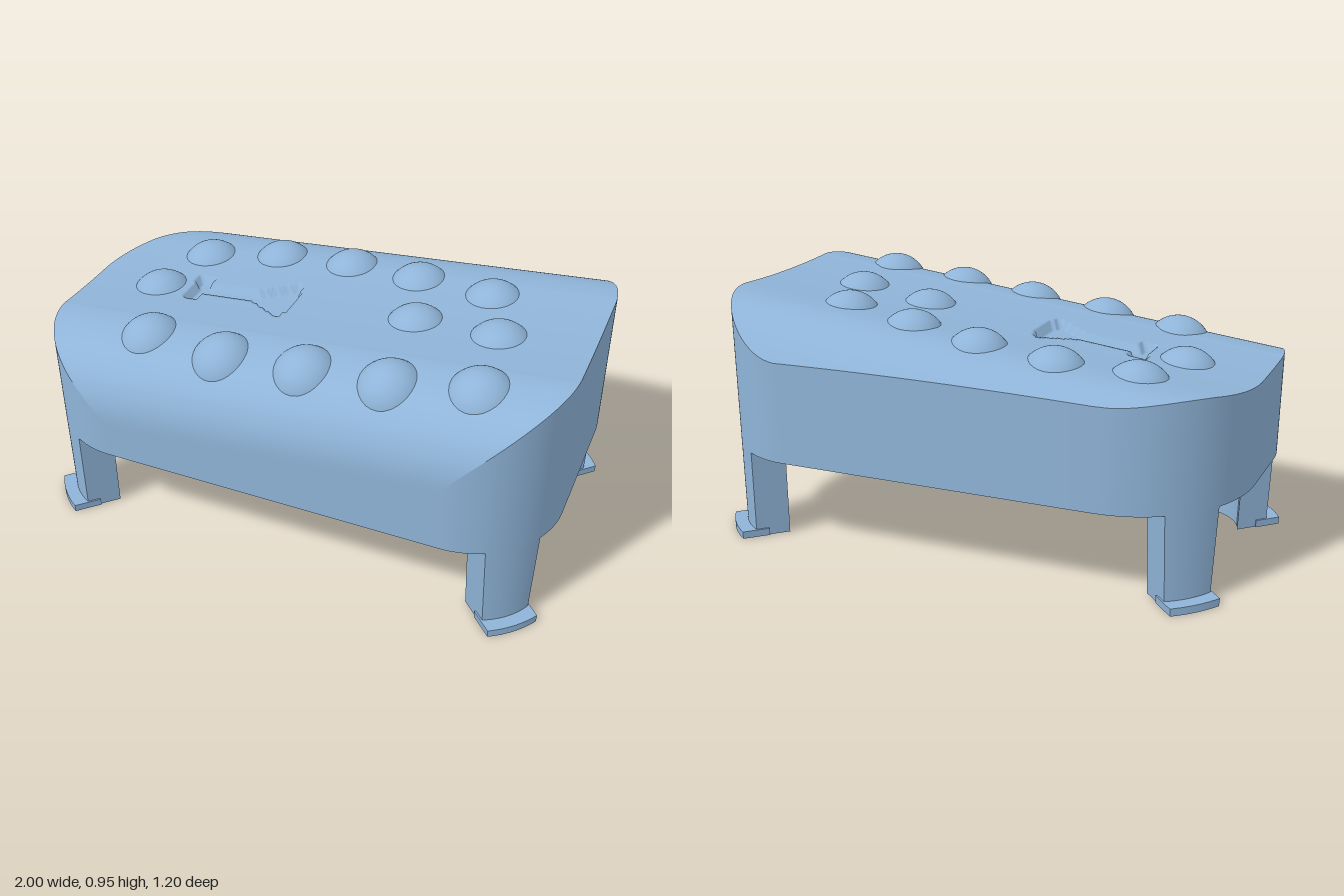
import * as THREE from 'three';
import { toCreasedNormals } from 'three/addons/utils/BufferGeometryUtils.js';

const WALL = 0.1, RIM = 0.36, ROWS = 160;
// rounded corners of the plan: centre x, z, radius, leg direction in degrees
const CORNERS = {
  frontLeft: [0.65, 0.25, 0.35, 45],
  backLeft: [0.66, -0.26, 0.34, -45],
  backRight: [-0.52, -0.02, 0.48, -138],
  frontRight: [-0.65, 0.25, 0.35, 135],
};

// x where a corner arc, shrunk by t, meets the row z
function arcX([cx, cz, r], z, t, side) {
  return cx + side * Math.sqrt(Math.max(0, (r - t) ** 2 - (z - cz) ** 2));
}

// left and right ends of the plan at the row z
function span(z, t) {
  let max = 1 - t, min = -1 + t;
  if (z > 0.25) {
    max = arcX(CORNERS.frontLeft, z, t, 1);
    min = arcX(CORNERS.frontRight, z, t, -1);
  }
  if (z < -0.26) max = arcX(CORNERS.backLeft, z, t, 1);
  if (z < -0.02) min = arcX(CORNERS.backRight, z, t, -1);
  // slanted straight back edge
  if (z < -0.02 - 0.9965 * (0.48 - t)) min = (0.5434 - t + 0.9965 * z) / -0.0837;
  return [Math.min(min, max), max];
}

// tilted top, rolled over at the front and back
function topY(x, z) {
  let y = 0.842 + 0.01 * Math.min(1, (z / 0.29) ** 2);
  if (z > 0.27) y = 0.56 + 0.292 * Math.max(0, 1 - ((z - 0.27) / 0.33) ** 2.3) ** (1 / 2.3);
  if (z < -0.28) y -= 0.157 * ((-z - 0.28) / 0.32) ** 2.8;
  return y + 0.09 * x;
}

// sunken shape in the top: cross bar, stem and fan
function inRecess(x, z) {
  const d = Math.abs(z - 0.018);
  if (x > -0.575 && x < -0.515) return d < 0.08;
  if (x >= -0.515 && x < -0.32) return d < 0.033;
  const f = (x + 0.32) / 0.155;
  return f >= 0 && d < 0.033 + 0.09 * f ** 1.3 && Math.hypot(x + 0.4, d) < 0.262;
}

function rowZ(i, t) {
  return (0.6 - t) * Math.cos((Math.PI * i) / ROWS);
}

// counter-clockwise outline at a given height
function outline(t, height) {
  const left = [], right = [];
  for (let i = 0; i <= ROWS; i++) {
    const z = rowZ(i, t), [a, b] = span(z, t);
    left.push([b, height(b, z), z]);
    right.unshift([a, height(a, z), z]);
  }
  return [...left, ...right];
}

function indexed(points, index) {
  const g = new THREE.BufferGeometry();
  g.setAttribute('position', new THREE.Float32BufferAttribute(points.flat(), 3));
  g.setIndex(index);
  g.computeVertexNormals();
  return g;
}

// band of quads between two outlines
function band(a, b) {
  const n = a.length, index = [];
  for (let i = 0; i < n; i++) {
    const j = (i + 1) % n;
    index.push(i, j, n + j, i, n + j, n + i);
  }
  return indexed([...a, ...b], index);
}

// curved sheet filling an outline
function sheet(t, cols, height, down) {
  const points = [], index = [];
  for (let i = 0; i <= ROWS; i++) {
    const z = rowZ(i, t), [a, b] = span(z, t);
    for (let j = 0; j <= cols; j++) {
      const x = a + ((b - a) * j) / cols;
      points.push([x, height(x, z), z]);
      if (i === ROWS || j === cols) continue;
      const p = i * (cols + 1) + j, q = p + cols + 1;
      if (down) index.push(p, q, p + 1, p + 1, q, q + 1);
      else index.push(p, p + 1, q, p + 1, q + 1, q);
    }
  }
  return indexed(points, index);
}

// curved block following a corner: w is half its width, base narrows its foot end
function cornerBlock([cx, cz, , deg], inner, outer, w, h, base) {
  const a = Math.asin(w / outer), b = Math.asin(w / inner), up = Math.PI / 2;
  const shape = new THREE.Shape();
  shape.absarc(0, 0, outer, up - a, up + a, false);
  shape.absarc(0, 0, inner, up + b, up - b, true);
  const g = new THREE.ExtrudeGeometry(shape, { depth: h, bevelEnabled: false, curveSegments: 10 });
  const p = g.attributes.position;
  for (let i = 0; i < p.count; i++) p.setX(i, p.getX(i) * (base + ((1 - base) * p.getZ(i)) / h));
  const A = THREE.MathUtils.degToRad(deg), c = Math.cos(A), s = Math.sin(A);
  g.applyMatrix4(new THREE.Matrix4().makeBasis(
    new THREE.Vector3(-s, 0, c), new THREE.Vector3(c, 0, s), new THREE.Vector3(0, 1, 0),
  ).setPosition(cx, 0, cz));
  return toCreasedNormals(g, 0.5);
}

export function createModel() {
  const blue = new THREE.MeshStandardMaterial({ color: 0x8fb4d8 });
  blue.name = 'soft blue';
  const model = new THREE.Group();
  const add = (name, geometry, parent = model) => {
    const mesh = new THREE.Mesh(geometry, blue);
    mesh.name = name;
    parent.add(mesh);
    return mesh;
  };

  // hollow body, open below
  const rimY = () => RIM;
  const ceilingY = (x, z) => topY(x, z) - 0.1;
  const body = new THREE.Group();
  body.name = 'body';
  model.add(body);
  add('topSurface', sheet(0, 160, (x, z) => topY(x, z) - (inRecess(x, z) ? 0.03 : 0), false), body);
  add('outerWall', band(outline(0, rimY), outline(0, topY)), body);
  add('innerWall', band(outline(WALL, ceilingY), outline(WALL, rimY)), body);
  add('bottomRim', band(outline(WALL, rimY), outline(0, rimY)), body);
  add('ceiling', sheet(WALL, 24, ceilingY, true), body);

  // round boss under the ceiling
  add('centerBoss', new THREE.CylinderGeometry(0.215, 0.215, 0.3, 48)).position.set(0.04, 0.62, -0.01);

  // legs with outward feet
  for (const [name, corner] of Object.entries(CORNERS)) {
    const r = corner[2], leg = new THREE.Group();
    leg.name = name + 'Leg';
    model.add(leg);
    add('post', cornerBlock(corner, r - 0.12, r, 0.107, RIM, 0.86), leg);
    add('foot', cornerBlock(corner, r - 0.05, r + 0.05, 0.1, 0.03, 0.98), leg);
  }

  // domed studs on top
  const dome = new THREE.SphereGeometry(0.13, 36, 16, 0, Math.PI * 2, 0, Math.PI / 2);
  const studs = [
    [-0.62, -0.24], [-0.33, -0.3], [-0.03, -0.3], [0.26, -0.265], [0.565, -0.215],
    [-0.705, 0.025], [0.345, 0.015], [0.665, 0.045],
    [-0.57, 0.345], [-0.25, 0.385], [0.07, 0.385], [0.385, 0.385], [0.695, 0.355],
  ];
  for (const [x, z] of studs) add('stud', dome).position.set(x, topY(x, z) - 0.085, z);

  return model;
}
